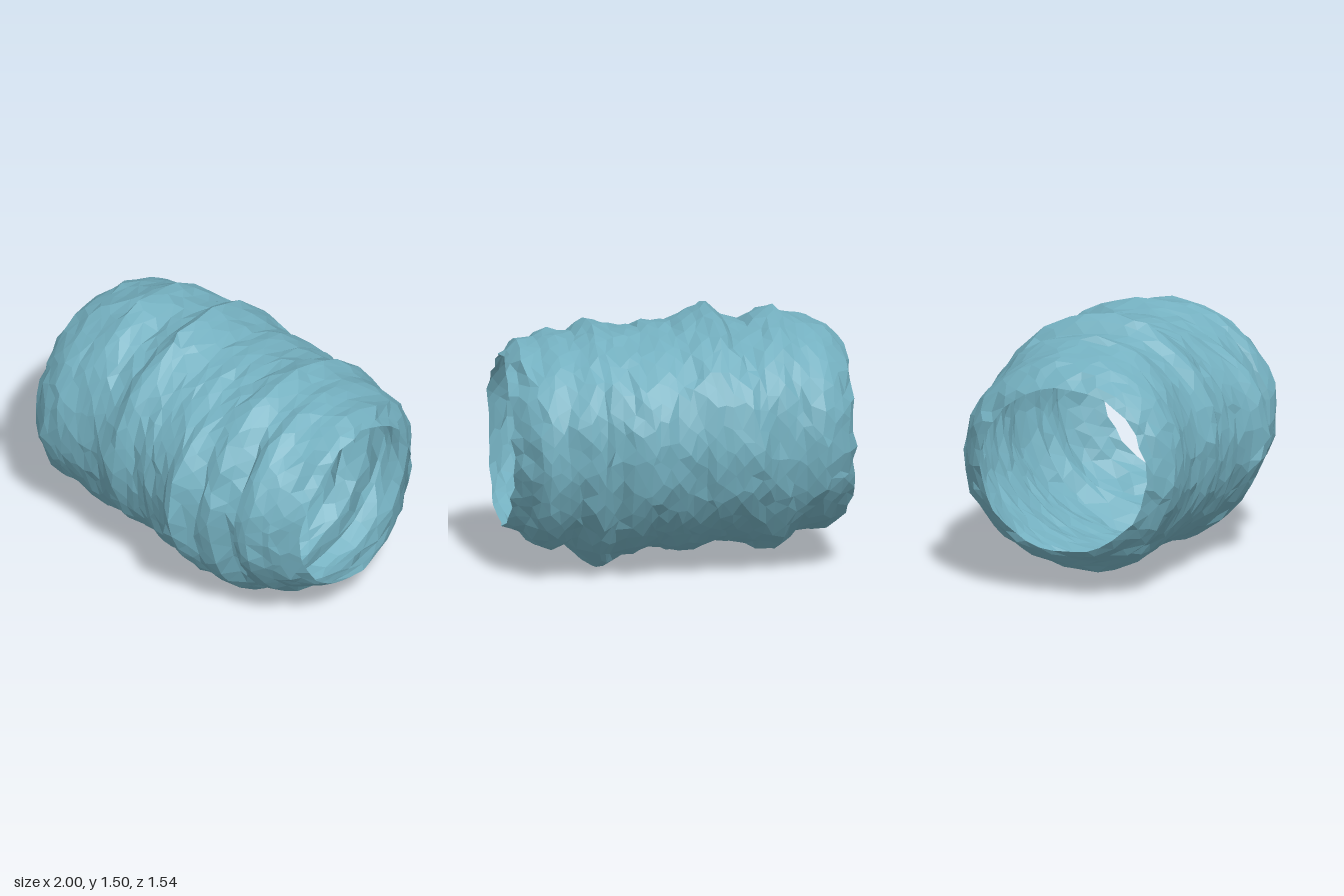
import * as THREE from 'three';

// Outline of the sleeve along x: [x, extent] pairs for each side
const TOP = [[-1, 1.24], [-0.88, 1.35], [-0.72, 1.4], [-0.57, 1.46], [-0.42, 1.39], [-0.33, 1.39], [-0.22, 1.49], [-0.12, 1.45], [0, 1.39],
  [0.13, 1.39], [0.22, 1.36], [0.35, 1.37], [0.47, 1.42], [0.6, 1.35], [0.72, 1.36], [0.8, 1.31], [0.9, 1.32], [0.95, 1.26], [1, 1.24]];
const BOTTOM = [[-1, 0.28], [-0.85, 0.17], [-0.7, 0.17], [-0.58, 0.07], [-0.5, 0.06], [-0.35, 0.12], [-0.2, 0.12], [-0.02, 0.05],
  [0.15, 0.11], [0.3, 0.05], [0.47, -0.01], [0.55, 0.05], [0.6, 0.12], [0.75, 0.12], [0.9, 0.22], [1, 0.25]];
const FRONT = [[-1, 0.47], [-0.8, 0.62], [-0.6, 0.58], [-0.4, 0.6], [-0.28, 0.66], [-0.1, 0.62], [0.1, 0.67], [0.25, 0.77], [0.3, 0.74],
  [0.36, 0.68], [0.48, 0.67], [0.55, 0.62], [0.74, 0.65], [0.85, 0.57], [1, 0.45]];
const BACK = [[-1, -0.54], [-0.9, -0.63], [-0.8, -0.71], [-0.65, -0.67], [-0.4, -0.75], [-0.25, -0.74], [0.05, -0.73], [0.23, -0.77],
  [0.4, -0.7], [0.48, -0.75], [0.58, -0.76], [0.7, -0.7], [0.82, -0.72], [0.9, -0.62], [1, -0.51]];

// Folds: x, lean along x per radian, centre angle (0 front, PI/2 top), angular reach, depth
const FOLDS = [
  [0.56, 0.04, 0.2, 0.9, 0.08], [0.57, 0, -0.4, 0.35, 0.05], [0.35, 0.08, 0.1, 0.6, 0.04], [-0.18, 0.1, 0.1, 0.5, 0.04],
  [-0.78, -0.03, 0, 0.6, 0.03], [0.78, 0, -0.3, 0.8, 0.03], [-0.4, 0.05, 1.6, 0.5, 0.02], [-0.5, 0.05, 3.5, 0.8, 0.04],
  [-0.05, 0.06, 3.9, 0.9, 0.04], [0.38, -0.05, 3.6, 0.9, 0.05], [0.6, 0.04, 3.9, 0.8, 0.05], [-0.72, 0.04, 2.6, 0.7, 0.02],
  [0.2, 0.05, 2.4, 0.6, 0.02],
];

// Bulges and dents: x, reach along x, angle, angular sharpness, height
const BULGES = [[0, 0.75, 2.5, 6, 0.03], [0.76, 0.14, 4.1, 6, 0.07], [1, 0.08, 0.95, 9, -0.1]];

const CY = 0.75, CZ = -0.03;

function sample(pairs, x) {
  let i = 1;
  while (i < pairs.length - 1 && pairs[i][0] < x) i++;
  const [x0, v0] = pairs[i - 1], [x1, v1] = pairs[i];
  return v0 + (v1 - v0) * THREE.MathUtils.clamp((x - x0) / (x1 - x0), 0, 1);
}

function seeded(seed) {
  return () => {
    seed = (seed * 16807) % 2147483647;
    return seed / 2147483647 - 0.5;
  };
}

// Signed angle from b to a
const turn = (a, b) => Math.atan2(Math.sin(a - b), Math.cos(a - b));

// A point on the crumpled wall
function wallPoint(x, a, rand) {
  const s = Math.sin(a), c = Math.cos(a);
  const edge = Math.abs(x) > 0.99;
  let scale = 1.003 + 0.03 * rand();
  let dx = 0;
  for (const [fx, lean, fa, reach, depth] of FOLDS) {
    const da = turn(a, fa);
    const t = (x - fx - lean * da) / 0.045;
    const w = Math.exp(-t * t - (da / reach) ** 4);
    scale -= depth * w * 1.2;
    dx += 0.4 * depth * w;
  }
  for (const [bx, reach, ba, sharp, height] of BULGES) {
    scale += height * Math.exp(-(turn(a, ba) ** 2) * sharp - ((x - bx) / reach) ** 2);
  }
  // broad crumples between the main folds
  scale += 0.008 * Math.sin(2 * a) ** 2 * Math.sin(13 * x + 3 * Math.sin(a + 1) + 2 * Math.cos(2 * a));
  const y = CY + s * scale * (s > 0 ? sample(TOP, x) - CY : CY - sample(BOTTOM, x));
  const z = CZ + c * scale * (c > 0 ? sample(FRONT, x) - CZ : CZ - sample(BACK, x));
  const px = edge ? x - Math.sign(x) * 0.015 * (1 + 2 * rand()) : x + dx + 0.035 * rand();
  return [THREE.MathUtils.clamp(px, -1, 1), Math.max(0, y), z];
}

export function createModel() {
  const group = new THREE.Group();
  group.name = 'crumpledSleeve';
  const rows = 38, sides = 34;
  const rand = seeded(4711);
  const positions = [], index = [];

  // Rings of points along x
  for (let i = 0; i <= rows; i++) {
    const x = -1 + (2 * i) / rows;
    for (let j = 0; j < sides; j++) {
      const a = ((j + 0.5 * (i % 2) + 0.6 * rand()) / sides) * Math.PI * 2;
      positions.push(...wallPoint(x, a, rand));
    }
  }
  // Staggered triangles between neighbouring rings
  for (let i = 0; i < rows; i++) {
    for (let j = 0; j < sides; j++) {
      const k = (j + 1) % sides;
      const a = i * sides + j, b = i * sides + k, c = (i + 1) * sides + j, d = (i + 1) * sides + k;
      if (i % 2) index.push(a, d, c, a, b, d);
      else index.push(a, b, c, b, d, c);
    }
  }
  const geometry = new THREE.BufferGeometry();
  geometry.setAttribute('position', new THREE.Float32BufferAttribute(positions, 3));
  geometry.setIndex(index);
  geometry.computeVertexNormals();

  const material = new THREE.MeshStandardMaterial({ color: 0x74b0c0, flatShading: true, side: THREE.DoubleSide });
  const sleeve = new THREE.Mesh(geometry, material);
  sleeve.name = 'sleeveWall';
  group.add(sleeve);
  return group;
}
